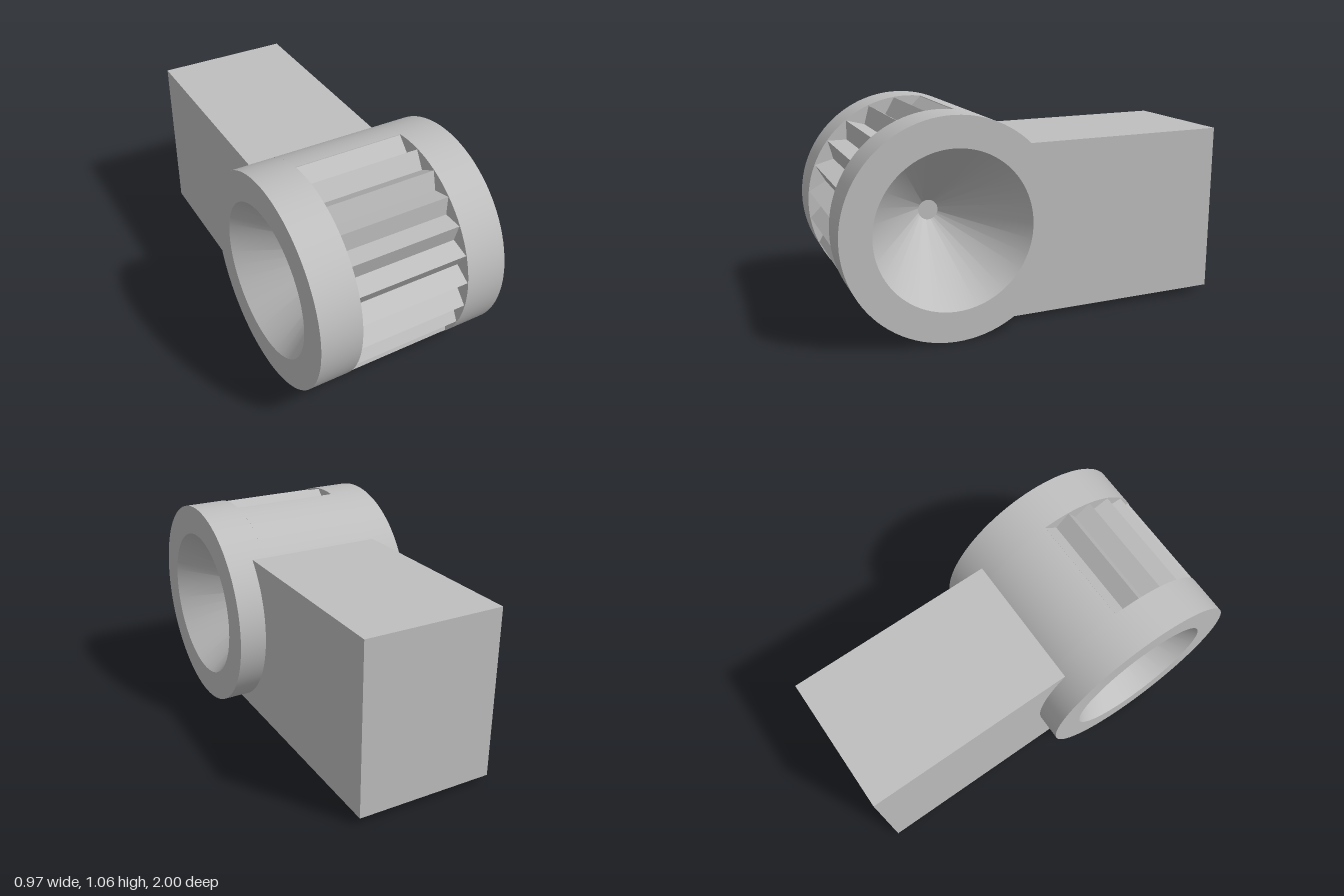
import * as THREE from 'three';
import { toCreasedNormals } from 'three/addons/utils/BufferGeometryUtils.js';

const R = 0.532;          // housing radius
const END = 0.483;        // half length of the housing
const GAP = 0.277;        // half width of the window
const HOLLOW = 0.3;       // hidden core radius, leaves room for the cones
const rad = THREE.MathUtils.degToRad;

// Extrude a side profile (u = z, v = y) along x, centred on x = 0
function extrudeAcross(shape, width) {
  const g = new THREE.ExtrudeGeometry(shape, { depth: width, bevelEnabled: false, curveSegments: 72 });
  g.translate(0, 0, -width / 2);
  g.rotateY(-Math.PI / 2);
  return toCreasedNormals(g, rad(12));
}

export function createModel() {
  const model = new THREE.Group();
  model.name = 'knurledWheelHousing';
  const grey = new THREE.MeshStandardMaterial({ color: 0xbfbfbf });
  grey.name = 'plain grey';

  // Everything is built around the wheel axis
  const body = new THREE.Group();
  body.name = 'body';
  body.position.set(0, R, 0.468);
  model.add(body);

  const add = (name, geometry) => {
    const mesh = new THREE.Mesh(geometry, grey);
    mesh.name = name;
    body.add(mesh);
    return mesh;
  };

  // End rings with a conical recess
  const profile = [
    [0.25, GAP], [R, GAP], [R, END], [0.383, END], [0.05, 0.05], [0, 0.05],
  ].map(([r, h]) => new THREE.Vector2(r, h));
  const ring = toCreasedNormals(new THREE.LatheGeometry(profile, 96).rotateZ(-Math.PI / 2), rad(25));
  add('leftEndRing', ring);
  add('rightEndRing', ring).rotation.y = Math.PI;

  // Rear wall joining the rings, leaving the front half open
  const wall = new THREE.Shape();
  wall.absarc(0, 0, R, rad(97.6), rad(262.4), false);
  wall.absarc(0, 0, HOLLOW, rad(262.4), rad(97.6), true);
  wall.closePath();
  add('rearWall', extrudeAcross(wall, GAP * 2));

  // Toothed wheel showing through the window
  const teeth = 24;
  const points = [];
  for (let i = 0; i < teeth * 2; i++) {
    const a = (i * Math.PI) / teeth;
    const r = i % 2 ? 0.529 : 0.456;
    points.push(new THREE.Vector2(Math.cos(a) * r, Math.sin(a) * r));
  }
  const wheel = new THREE.Shape(points);
  const core = new THREE.Path();
  core.absarc(0, 0, HOLLOW, 0, Math.PI * 2, true);
  wheel.holes.push(core);
  add('toothedWheel', extrudeAcross(wheel, GAP * 2 - 0.002));

  // Slightly tilted block, hollowed where it enters the housing
  const block = new THREE.Shape();
  block.moveTo(-0.402, 0.355);
  block.lineTo(-1.468, 0.365);
  block.lineTo(-1.466, -0.496);
  block.lineTo(-0.138, -0.511);
  block.absarc(0, 0, 0.45, rad(253), rad(140), true);
  block.closePath();
  add('block', extrudeAcross(block, 0.694));

  return model;
}
